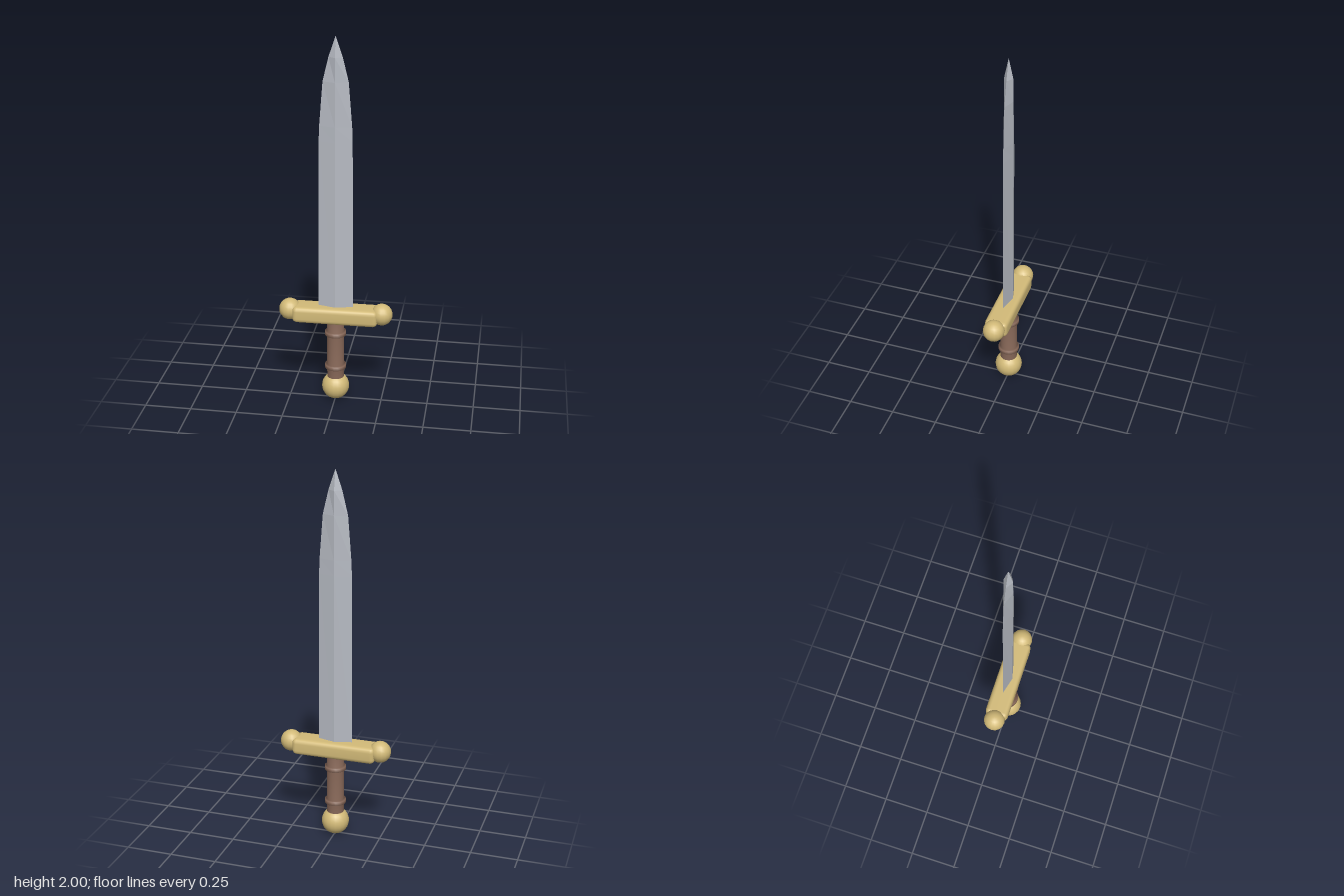
import * as THREE from 'three';
import { RoundedBoxGeometry } from 'three/addons/geometries/RoundedBoxGeometry.js';
import { mergeVertices } from 'three/addons/utils/BufferGeometryUtils.js';

const material = (name, color, flatShading = false) => {
  const m = new THREE.MeshStandardMaterial({ color, flatShading });
  m.name = name;
  return m;
};

// Diamond cross-sections [y, half width, half thickness] joined into a blade ending in a point
function bladeGeometry(sections) {
  const positions = [], index = [];
  for (const [y, w, t] of sections) positions.push(w, y, 0, 0, y, t, -w, y, 0, 0, y, -t);
  for (let s = 0; s < sections.length - 1; s++) {
    for (let i = 0; i < 4; i++) {
      const a = s * 4 + i, b = s * 4 + (i + 1) % 4;
      index.push(a, b + 4, b, a, a + 4, b + 4);
    }
  }
  index.push(0, 1, 2, 0, 2, 3);
  const g = new THREE.BufferGeometry();
  g.setAttribute('position', new THREE.Float32BufferAttribute(positions, 3));
  g.setIndex(index);
  const flat = g.toNonIndexed();
  flat.computeVertexNormals();
  return flat;
}

// Bevelled bar with soft, continuous shading
function guardGeometry() {
  const box = new RoundedBoxGeometry(0.456, 0.09, 0.126, 2, 0.025);
  box.deleteAttribute('normal');
  box.deleteAttribute('uv');
  box.clearGroups();
  const smooth = mergeVertices(box, 1e-4);
  smooth.computeVertexNormals();
  return smooth;
}

// Turned grip with two raised bands
function gripGeometry() {
  const r = 0.046, band = 0.057, half = 0.012;
  const profile = [new THREE.Vector2(r, 0.11)];
  for (const y of [0.195, 0.392]) {
    profile.push(
      new THREE.Vector2(r, y - half), new THREE.Vector2(band, y - half + 0.002),
      new THREE.Vector2(band, y + half - 0.002), new THREE.Vector2(r, y + half));
  }
  profile.push(new THREE.Vector2(r, 0.48));
  return new THREE.LatheGeometry(profile, 20);
}

export function createModel() {
  const steel = material('steel', 0xb6bac2, true);
  const brass = material('brass', 0xd2ba78);
  const leather = material('leather', 0x8a6a5a);
  const model = new THREE.Group();
  model.name = 'sword';

  const add = (name, geometry, mat, x = 0, y = 0) => {
    const mesh = new THREE.Mesh(geometry, mat);
    mesh.name = name;
    mesh.position.set(x, y, 0);
    model.add(mesh);
  };

  // Blade
  add('blade', bladeGeometry([
    [0.52, 0.093, 0.024],
    [1.46, 0.087, 0.024],
    [1.54, 0.084, 0.024],
    [1.77, 0.066, 0.024],
    [1.895, 0.036, 0.023],
    [2.0, 0.0005, 0.0005],
  ]), steel);

  // Crossguard with a ball at each end
  add('crossguard', guardGeometry(), brass, 0, 0.503);
  for (const side of [-1, 1]) {
    add(side > 0 ? 'leftGuardBall' : 'rightGuardBall',
      new THREE.SphereGeometry(0.058, 16, 12), brass, side * 0.247, 0.515);
  }

  // Grip and pommel
  add('grip', gripGeometry(), leather);
  add('pommel', new THREE.SphereGeometry(0.074, 20, 14), brass, 0, 0.074);
  return model;
}
